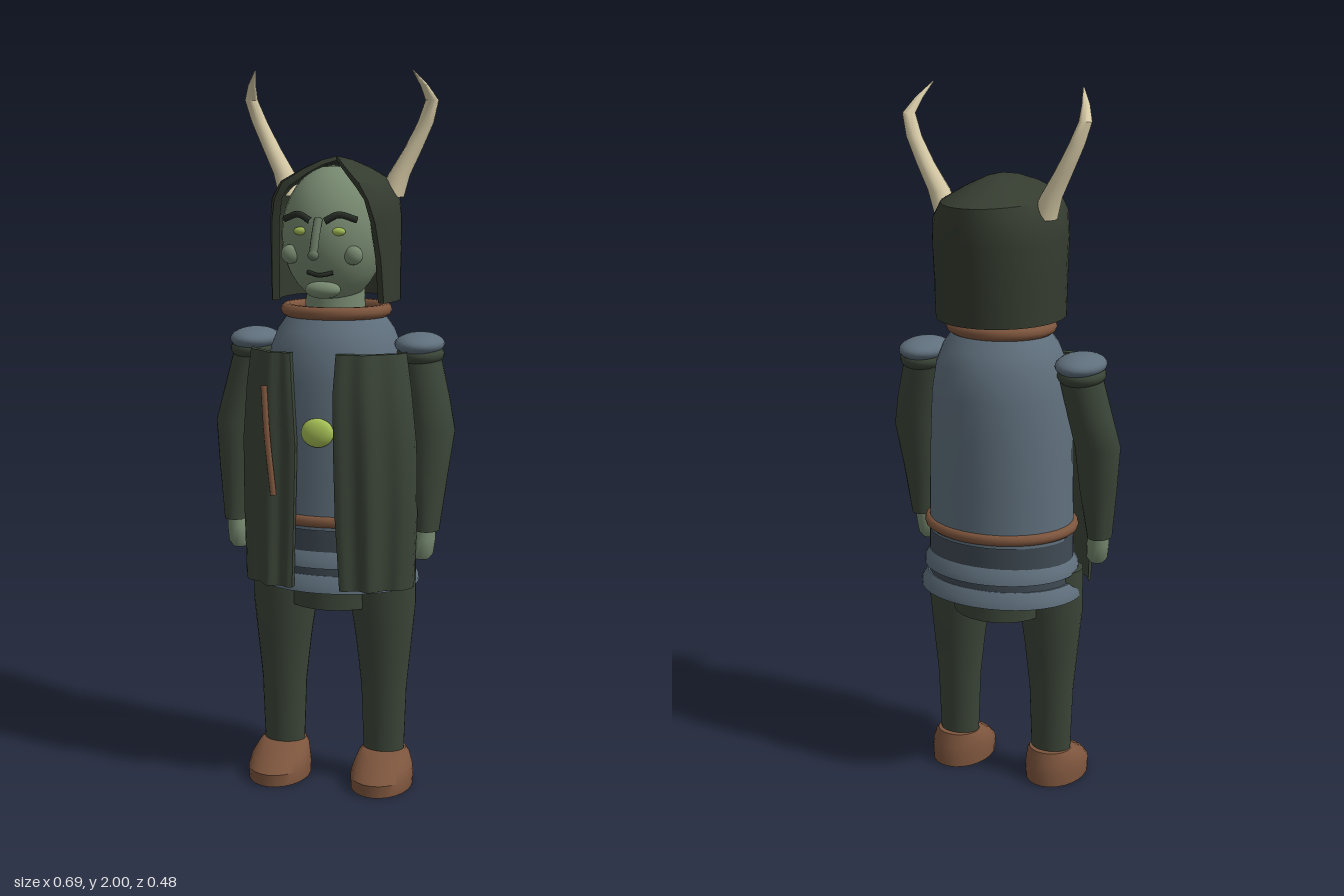
import * as THREE from 'three';
import { toCreasedNormals } from 'three/addons/utils/BufferGeometryUtils.js';

const mat = (name, color) => new THREE.MeshStandardMaterial({ name, color });

// Skin through closed rings of [x, y, z], ordered bottom to top, with both ends capped
function loft(rings, crease = 0.7) {
  const n = rings[0].length, index = [];
  const quad = (a, b, c, d) => index.push(a, b, c, a, c, d);
  for (let r = 0; r < rings.length - 1; r++) {
    for (let i = 0; i < n; i++) {
      const j = (i + 1) % n;
      quad(r * n + i, r * n + j, (r + 1) * n + j, (r + 1) * n + i);
    }
  }
  const top = (rings.length - 1) * n;
  for (let i = 0; i < n / 2 - 1; i++) {
    quad(n - 1 - i, n - 2 - i, i + 1, i);
    quad(top + i, top + i + 1, top + n - 2 - i, top + n - 1 - i);
  }
  const g = new THREE.BufferGeometry();
  g.setAttribute('position', new THREE.Float32BufferAttribute(rings.flat(2), 3));
  g.setIndex(index);
  return toCreasedNormals(g, crease);
}

// Stacked ellipses given as [y, centre x, centre z, radius x, radius z]
const stack = (rows, side = 1, n = 24, crease = 0.7) =>
  loft(rows.map(([y, cx, cz, rx, rz]) => Array.from({ length: n }, (_, i) => {
    const a = (i / n) * Math.PI * 2;
    return [side * cx + rx * Math.sin(a), y, cz + rz * Math.cos(a)];
  })), crease);

const tube = (points, r) => new THREE.TubeGeometry(
  new THREE.CatmullRomCurve3(points.map((p) => new THREE.Vector3(...p))), 12, r, 8);

export function createModel() {
  const root = new THREE.Group();
  root.name = 'hornedFigure';
  const cloth = mat('darkGreenCloth', 0x3b4538);
  const hoodCloth = mat('hoodCloth', 0x343b2f);
  const steel = mat('blueSteel', 0x5f6f7c);
  const darkSteel = mat('darkSteel', 0x3f4a53);
  const leather = mat('brownLeather', 0x7d553d);
  const skin = mat('greenSkin', 0x76886f);
  const noseSkin = mat('noseSkin', 0x65735f);
  const bone = mat('hornBone', 0xd6caa6);
  const glow = mat('yellowGreen', 0xa6c055);
  const dark = mat('browDark', 0x262b24);

  const add = (name, geometry, material) => {
    const m = new THREE.Mesh(geometry, material);
    m.name = name;
    root.add(m);
    return m;
  };
  const ball = (name, material, p, r) => {
    const m = add(name, new THREE.SphereGeometry(1, 24, 16), material);
    m.position.set(...p);
    m.scale.set(...r);
    return m;
  };
  const ring = (name, material, y, rx, rz, tubeR, height = 1) => {
    const g = new THREE.TorusGeometry(1, tubeR / rx, 10, 40);
    g.rotateX(Math.PI / 2);
    g.scale(rx, rx * height, rz);
    add(name, g, material).position.y = y;
  };

  // Torso and waist
  add('torso', stack([
    [0.76, 0, 0, 0.21, 0.18], [0.9, 0, 0, 0.207, 0.182], [1.05, 0, 0, 0.202, 0.186],
    [1.17, 0, 0, 0.195, 0.187], [1.25, 0, 0, 0.182, 0.178], [1.3, 0, 0, 0.163, 0.155],
    [1.34, 0, 0, 0.135, 0.125]], 1, 36), steel);
  add('skirt', stack([[0.6, 0, 0, 0.215, 0.17], [0.77, 0, 0, 0.21, 0.175]], 1, 36), darkSteel);
  add('hips', stack([[0.52, 0, 0, 0.138, 0.13], [0.62, 0, 0, 0.138, 0.13]]), cloth);
  ring('belt', leather, 0.785, 0.208, 0.178, 0.016);
  [[0.675, 0.208, 0.172, 0.655], [0.61, 0.22, 0.172, 0.585]].forEach(([, rx, rz, y]) => {
    add('skirtPlate', stack([
      [y, 0, 0, rx + 0.018, rz + 0.018], [y + 0.02, 0, 0, rx + 0.016, rz + 0.015],
      [y + 0.045, 0, 0, rx, rz]], 1, 36), steel);
  });
  ball('chestGem', glow, [0, 1.035, 0.19], [0.046, 0.04, 0.022]);

  // Neck, collar and head
  add('neck', stack([[1.32, 0, 0.01, 0.085, 0.085], [1.45, 0, 0.01, 0.08, 0.08]]), skin);
  ring('collar', leather, 1.352, 0.138, 0.127, 0.018);
  ball('head', skin, [0, 1.56, 0.03], [0.142, 0.187, 0.15]);
  ball('chin', skin, [0, 1.418, 0.135], [0.05, 0.024, 0.03]);
  add('mouth', tube([[-0.035, 1.467, 0.158], [0, 1.46, 0.169], [0.035, 1.467, 0.158]], 0.006), dark);
  add('nose', tube([[0, 1.61, 0.178], [0, 1.565, 0.205], [0, 1.52, 0.225]], 0.012), noseSkin);
  ball('noseTip', noseSkin, [0, 1.518, 0.225], [0.015, 0.014, 0.014]);

  // Hood: a thick shell, open at the face, as [y, radius x, radius z, half opening angle]
  const hoodRows = [
    [1.38, 0.177, 0.195, 1.1], [1.5, 0.177, 0.212, 1.05], [1.6, 0.177, 0.228, 0.95],
    [1.66, 0.17, 0.238, 0.87], [1.705, 0.142, 0.238, 0.84], [1.74, 0.083, 0.16, 0.8],
    [1.762, 0.035, 0.075, 0.75], [1.77, 0.002, 0.004, 0.7]];
  add('hood', loft(hoodRows.map(([y, rx, rz, open], k) => {
    const wall = (f, drop) => Array.from({ length: 28 }, (_, i) => {
      const a = open + (i / 27) * (Math.PI * 2 - open * 2);
      return [rx * f * Math.sin(a), y - drop, rz * f * Math.cos(a)];
    });
    return [...wall(1, 0), ...wall(0.88, k > 3 ? 0.012 : 0).reverse()];
  }), 0.6), hoodCloth);

  for (const s of [1, -1]) {
    // Face details
    ball('eye', glow, [s * 0.052, 1.577, 0.166], [0.02, 0.011, 0.01]);
    ball('cheek', skin, [s * 0.088, 1.513, 0.145], [0.026, 0.026, 0.02]);
    add('eyebrow', tube([[s * 0.02, 1.605, 0.184], [s * 0.055, 1.622, 0.176],
      [s * 0.1, 1.608, 0.154]], 0.009), dark);

    // Horn
    add('horn', stack([
      [1.66, 0.145, -0.042, 0.034, 0.038], [1.72, 0.165, -0.046, 0.03, 0.034],
      [1.79, 0.203, -0.05, 0.025, 0.026], [1.86, 0.237, -0.05, 0.022, 0.021],
      [1.92, 0.257, -0.04, 0.018, 0.018], [1.96, 0.243, -0.004, 0.011, 0.012],
      [2.0, 0.22, 0.035, 0.002, 0.002]], s, 14), bone);

    // Shoulder, arm and hand
    ball('pauldron', steel, [s * 0.238, 1.263, 0], [0.068, 0.032, 0.092]);
    ball('shoulderPad', cloth, [s * 0.24, 1.235, 0], [0.066, 0.036, 0.076]);
    add('arm', stack([
      [0.755, 0.277, 0.06, 0.034, 0.042], [0.9, 0.276, 0.045, 0.053, 0.05],
      [1.03, 0.28, 0.025, 0.065, 0.056], [1.12, 0.262, 0.01, 0.063, 0.06],
      [1.24, 0.235, 0, 0.06, 0.062]], s), cloth);
    add('hand', stack([
      [0.675, 0.266, 0.07, 0.02, 0.02], [0.69, 0.267, 0.068, 0.03, 0.03],
      [0.73, 0.27, 0.064, 0.032, 0.034], [0.77, 0.275, 0.06, 0.026, 0.03]], s, 16), skin);

    // Leg and shoe
    add('leg', stack([
      [0.08, 0.148, 0.025, 0.058, 0.045], [0.28, 0.148, 0.025, 0.065, 0.053],
      [0.42, 0.147, 0.025, 0.08, 0.064], [0.53, 0.144, 0.025, 0.094, 0.072],
      [0.66, 0.142, 0.025, 0.095, 0.076]], s), cloth);
    add('shoe', stack([
      [0, 0.152, 0.062, 0.086, 0.117], [0.035, 0.152, 0.062, 0.088, 0.118],
      [0.06, 0.152, 0.05, 0.083, 0.1], [0.085, 0.15, 0.03, 0.073, 0.072],
      [0.098, 0.149, 0.02, 0.062, 0.058]], s), leather);

    // Hanging coat panel with folds, as [y, inner x, outer x, forward shift]
    const rows = s > 0
      ? [[0.6, 0.065, 0.25, 0], [0.8, 0.055, 0.26, 0.01], [1, 0.05, 0.257, 0.012],
        [1.15, 0.047, 0.24, 0.005], [1.25, 0.05, 0.222, -0.012]]
      : [[0.6, 0.07, 0.23, 0], [0.8, 0.065, 0.235, 0], [1, 0.06, 0.235, 0.002],
        [1.15, 0.07, 0.225, -0.002], [1.25, 0.078, 0.215, -0.012]];
    add('coatPanel', loft(rows.map(([y, x0, x1, dz]) => {
      const wall = (back) => {
        const pts = Array.from({ length: 18 }, (_, i) => {
          const u = i / 17;
          const fold = 0.011 * Math.sin(u * 15 + 1) * (1.35 - y * 0.8);
          return [s * (x0 + (x1 - x0) * u), y, 0.195 + 0.05 * u - 0.125 * u * u + fold + dz - back];
        });
        return s > 0 ? pts : pts.reverse();
      };
      return [...wall(0), ...wall(0.022).reverse()];
    }), 0.8), cloth);
  }

  // Strap on the right coat panel
  add('strap', tube([[-0.15, 1.16, 0.196], [-0.138, 1.02, 0.206], [-0.12, 0.86, 0.21]], 0.009), leather);
  return root;
}
